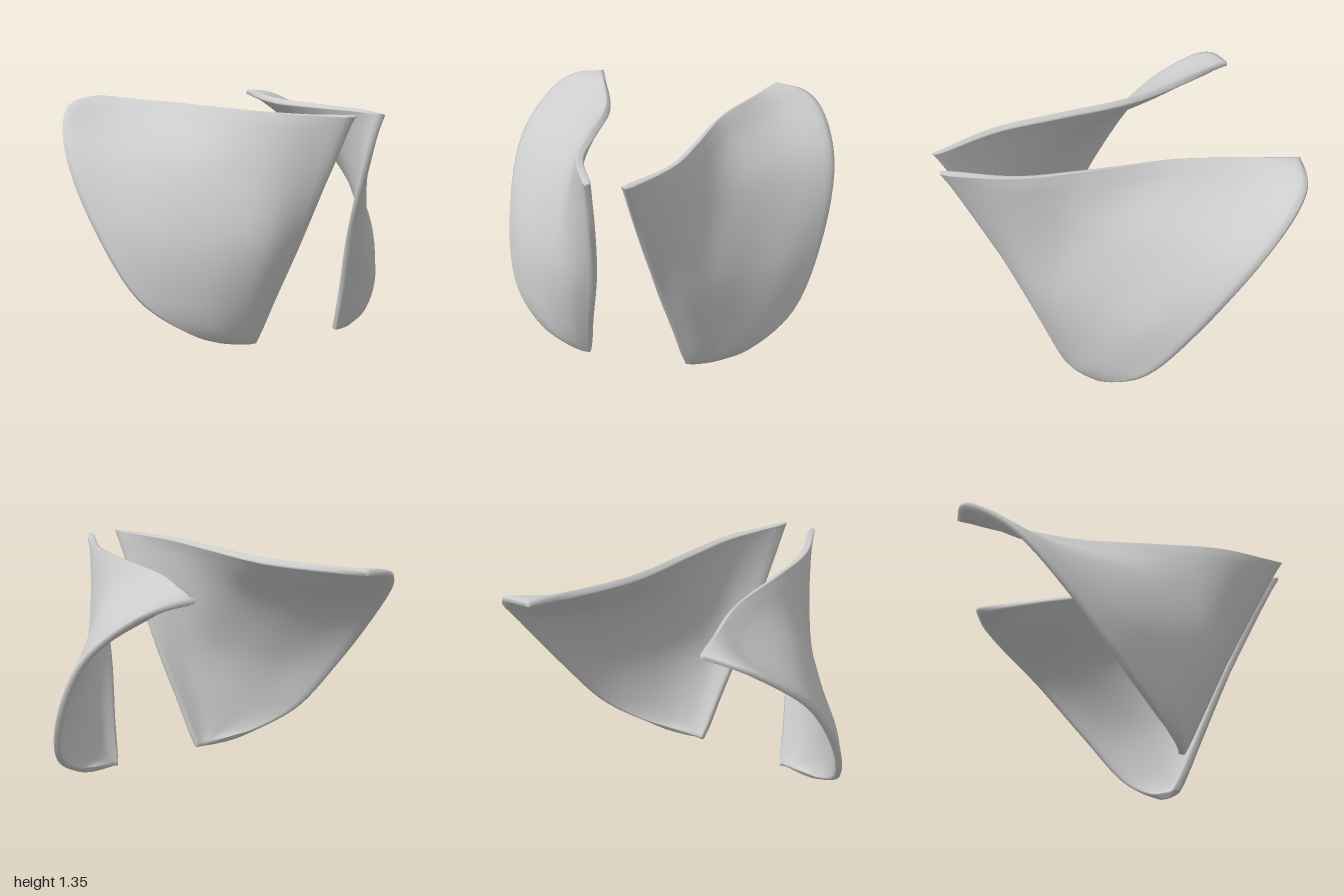
import * as THREE from 'three';

const NU = 44, NV = 44, HALF_THICKNESS = 0.021;
const { clamp } = THREE.MathUtils;

// Cross-sections of the left sheet, bottom to top; each runs front edge to outer edge as [x, y, z]
const SECTIONS = [
  [[0.29, 0.0, 0.31], [0.315, 0.003, 0.31], [0.34, 0.006, 0.305], [0.37, 0.011, 0.295], [0.41, 0.018, 0.28], [0.45, 0.026, 0.265]],
  [[0.27, 0.08, 0.35], [0.35, 0.08, 0.345], [0.42, 0.08, 0.32], [0.49, 0.08, 0.29], [0.56, 0.08, 0.24], [0.63, 0.085, 0.18]],
  [[0.24, 0.25, 0.425], [0.35, 0.25, 0.41], [0.47, 0.25, 0.345], [0.6, 0.25, 0.25], [0.72, 0.25, 0.14], [0.84, 0.25, 0.01]],
  [[0.17, 0.6, 0.58], [0.315, 0.6, 0.52], [0.465, 0.6, 0.38], [0.635, 0.6, 0.18], [0.81, 0.6, -0.025], [0.96, 0.6, -0.25]],
  [[0.12, 1.0, 0.78], [0.287, 1.0, 0.56], [0.402, 1.0, 0.285], [0.56, 1.0, -0.01], [0.757, 1.0, -0.325], [0.977, 1.0, -0.57]],
  [[0.1, 1.23, 0.9], [0.267, 1.23, 0.565], [0.327, 1.23, 0.23], [0.405, 1.23, -0.24], [0.6, 1.23, -0.65], [0.855, 1.235, -0.825]],
  [[0.097, 1.28, 0.93], [0.258, 1.28, 0.562], [0.307, 1.28, 0.2], [0.362, 1.285, -0.28], [0.535, 1.295, -0.715], [0.74, 1.305, -0.912]],
  [[0.095, 1.308, 0.948], [0.252, 1.305, 0.56], [0.295, 1.305, 0.2], [0.34, 1.31, -0.3], [0.49, 1.325, -0.755], [0.555, 1.33, -0.945]],
];

// Smooth grid of points through the cross-sections
function sheetGrid() {
  const rows = SECTIONS.map(s =>
    new THREE.CatmullRomCurve3(s.map(p => new THREE.Vector3(...p))));
  const grid = Array.from({ length: NV + 1 }, () => []);
  for (let i = 0; i <= NU; i++) {
    const column = new THREE.CatmullRomCurve3(rows.map(r => r.getPoint(i / NU)));
    for (let j = 0; j <= NV; j++) grid[j].push(column.getPoint(j / NV));
  }
  return grid;
}

// Closed shell: every row is a loop out along the outer face and back along the inner one
function sheetGeometry(side) {
  const grid = sheetGrid(), positions = [], index = [];
  const loop = 2 * (NU + 1);
  // Sheet normal, taken slightly inside the corners where the two directions run together
  const normalAt = (i, j) => {
    const a = clamp(i, 1, NU - 4), b = clamp(j, 3, NV - 3);
    const du = grid[b][a + 1].clone().sub(grid[b][a - 1]);
    const dv = grid[b + 1][a].clone().sub(grid[b - 1][a]);
    return du.cross(dv).normalize();
  };
  for (let j = 0; j <= NV; j++) {
    for (let k = 0; k < loop; k++) {
      const outer = k <= NU, i = outer ? k : loop - 1 - k;
      const rim = i === 0 || i === NU || j === 0 || j === NV;
      const offset = (outer ? 1 : -1) * HALF_THICKNESS * (rim ? 0.6 : 1);
      const p = grid[j][i].clone().addScaledVector(normalAt(i, j), offset);
      positions.push(side * p.x, Math.max(0, p.y), p.z);
    }
  }
  const tri = (a, b, c) => (side > 0 ? index.push(a, b, c) : index.push(a, c, b));
  const quad = (a, b, c, d) => { tri(a, b, c); tri(a, c, d); };
  for (let j = 0; j < NV; j++) {
    for (let k = 0; k < loop; k++) {
      const n = (k + 1) % loop, r = j * loop;
      quad(r + k, r + n, r + loop + n, r + loop + k);
    }
  }
  // Top and bottom rims
  const top = NV * loop;
  for (let k = 0; k < NU; k++) {
    const inner = loop - 1 - k;
    quad(top + k, top + k + 1, top + inner - 1, top + inner);
    quad(k, inner, inner - 1, k + 1);
  }
  const geometry = new THREE.BufferGeometry();
  geometry.setAttribute('position', new THREE.Float32BufferAttribute(positions, 3));
  geometry.setIndex(index);
  geometry.computeVertexNormals();
  return geometry;
}

export function createModel() {
  const group = new THREE.Group();
  group.name = 'curvedSheets';
  const grey = new THREE.MeshStandardMaterial({ color: 0xcccccc });
  grey.name = 'lightGrey';
  for (const [name, side] of [['leftSheet', 1], ['rightSheet', -1]]) {
    const mesh = new THREE.Mesh(sheetGeometry(side), grey);
    mesh.name = name;
    group.add(mesh);
  }
  return group;
}
